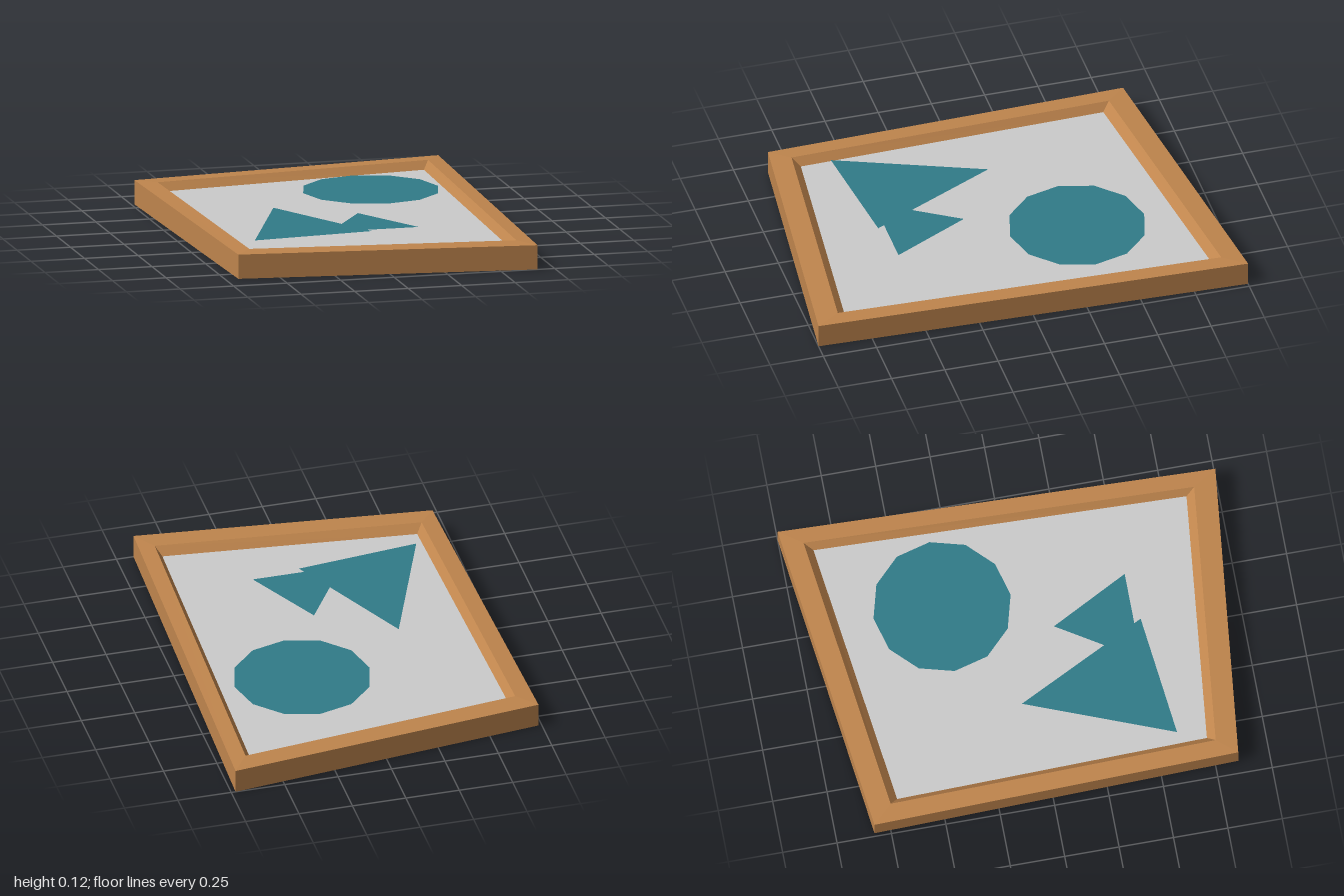
import * as THREE from 'three';

// Corner outlines as [x, z]: back-left, back-right, front-right, front-left of the plan
const OUTER = [[-0.735, -0.825], [0.73, -1], [0.67, 1], [-0.69, 0.855]];
const RIM = [[-0.65, -0.735], [0.655, -0.895], [0.6, 0.89], [-0.615, 0.765]];
const INNER = [[-0.62, -0.7], [0.625, -0.855], [0.575, 0.85], [-0.585, 0.73]];
const PANEL_Y = 0.08;
const SHAPE_Y = 0.117;

const ring = (outline, y) => outline.map(([x, z]) => [x, y, z]);

// Bands of quads between successive four-cornered rings, with a cap under the first
function loftRings(rings) {
  const pos = [];
  const quad = (a, b, c, d) => pos.push(...a, ...b, ...c, ...a, ...c, ...d);
  quad(...rings[0]);
  for (let r = 0; r < rings.length - 1; r++) {
    for (let i = 0; i < 4; i++) {
      const j = (i + 1) % 4;
      quad(rings[r][i], rings[r + 1][i], rings[r + 1][j], rings[r][j]);
    }
  }
  const geo = new THREE.BufferGeometry();
  geo.setAttribute('position', new THREE.Float32BufferAttribute(pos, 3));
  geo.computeVertexNormals();
  return geo;
}

// Flat horizontal sheet from an [x, z] outline
function sheet(name, outline, y, material) {
  const shape = new THREE.Shape(outline.map(([x, z]) => new THREE.Vector2(x, -z)));
  const geo = new THREE.ShapeGeometry(shape).rotateX(-Math.PI / 2);
  const mesh = new THREE.Mesh(geo, material);
  mesh.name = name;
  mesh.position.y = y;
  return mesh;
}

export function createModel() {
  const group = new THREE.Group();
  group.name = 'framedPicture';
  const wood = new THREE.MeshStandardMaterial({ color: 0xbf854d, flatShading: true });
  const grey = new THREE.MeshStandardMaterial({ color: 0xcccccc, side: THREE.DoubleSide });
  const teal = new THREE.MeshStandardMaterial({ color: 0x317b88, side: THREE.DoubleSide });

  // Skewed frame: closed underside, outer walls, rim rising slightly inward, inner bevel
  const frame = new THREE.Mesh(loftRings([
    ring(OUTER, 0), ring(OUTER, 0.112), ring(RIM, 0.116), ring(INNER, PANEL_Y),
  ]), wood);
  frame.name = 'frame';
  group.add(frame);

  // Recessed picture panel
  group.add(sheet('panel', INNER, PANEL_Y, grey));

  // Sun and two mountains; the mountains share one outline where they overlap
  const sun = [];
  for (let i = 0; i < 12; i++) {
    const a = (i / 12) * Math.PI * 2;
    sun.push([0.24 + 0.315 * Math.cos(a), -0.335 + 0.315 * Math.sin(a)]);
  }
  group.add(sheet('sun', sun, SHAPE_Y, teal));
  group.add(sheet('mountains', [
    [-0.546, 0.6], [0.02, 0.537], [0.004, 0.505], [0.245, 0.505],
    [0.055, 0.145], [-0.075, 0.352], [-0.285, 0.065 * -1],
  ], SHAPE_Y, teal));
  return group;
}
